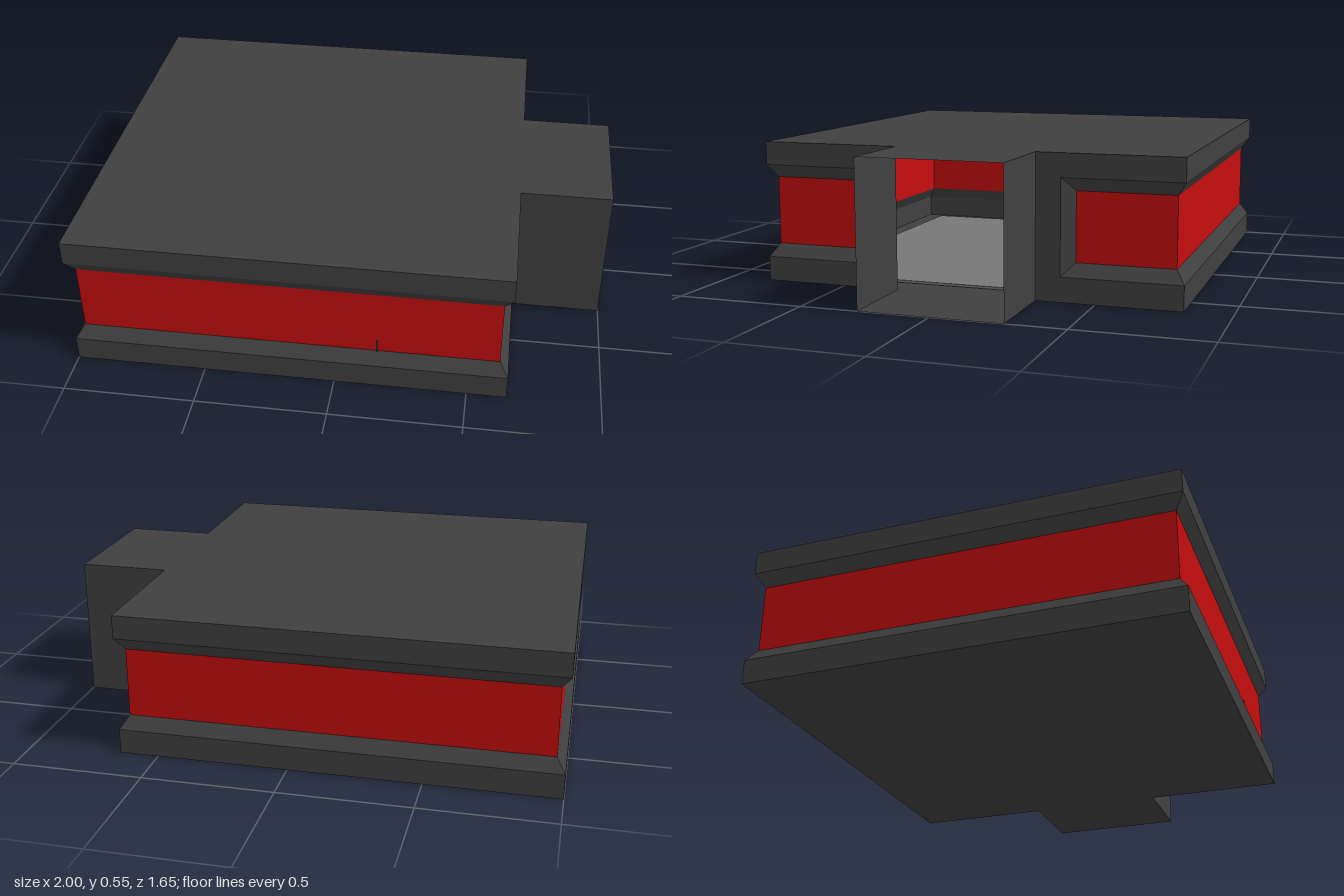
import * as THREE from 'three';

const H = 0.55, X0 = -1, X1 = 0.65, XT = 1, Z = 0.825, ZT = 0.275;
const dark = new THREE.MeshStandardMaterial({ color: 0x404040, side: THREE.DoubleSide, flatShading: true });
const red = new THREE.MeshStandardMaterial({ color: 0xc40d0d, side: THREE.DoubleSide, flatShading: true });
const grey = new THREE.MeshStandardMaterial({ color: 0x777777 });

// Builds one mesh from a list of four-cornered faces
function quadMesh(name, quads, material) {
  const pos = quads.flatMap(([a, b, c, d]) => [a, b, c, a, c, d].flat());
  const geo = new THREE.BufferGeometry();
  geo.setAttribute('position', new THREE.Float32BufferAttribute(pos, 3));
  geo.computeVertexNormals();
  const mesh = new THREE.Mesh(geo, material);
  mesh.name = name;
  return mesh;
}

// Wall strip joining path A at height ya to path B at height yb; paths are [x, z]
function strip(A, ya, B, yb) {
  return A.slice(1).map((p, i) => [
    [p[0], ya, p[1]], [A[i][0], ya, A[i][1]],
    [B[i][0], yb, B[i][1]], [B[i + 1][0], yb, B[i + 1][1]],
  ]);
}

// Half path mirrored in z, running round the room from one side of the doorway to the other
function around(x0, x1, z, zEnd) {
  const half = [[x1, zEnd], [x1, z], [x0, z]];
  return [...half, ...half.map(([x, zz]) => [x, -zz]).reverse()];
}

export function createModel() {
  const model = new THREE.Group();

  const outer = around(X0, X1, Z, 0.37);
  const inset = around(X0 + 0.033, X1 - 0.033, Z - 0.033, 0.42);

  // Lower and upper bands with the bevels leading into the groove
  model.add(quadMesh('lowerBand', [...strip(outer, 0, outer, 0.095), ...strip(outer, 0.095, inset, 0.145)], dark));
  model.add(quadMesh('upperBand', [...strip(inset, 0.41, outer, 0.46), ...strip(outer, 0.46, outer, H)], dark));

  // Recessed red wall panels
  model.add(quadMesh('redPanels', strip(inset, 0.145, inset, 0.41), red));

  // Door posts, groove end bevels and the open-ended passage walls
  const posts = [], passage = [];
  for (const s of [1, -1]) {
    const face = (pts) => (s > 0 ? pts : pts.map(([x, y, z]) => [x, y, -z]).reverse());
    posts.push(face([[X1, 0, 0.37], [X1, 0, ZT], [X1, H, ZT], [X1, H, 0.37]]));
    posts.push(face([[X1 - 0.033, 0.145, 0.42], [X1, 0.095, 0.37], [X1, 0.46, 0.37], [X1 - 0.033, 0.41, 0.42]]));
    passage.push(face([[X1, 0, ZT], [XT, 0, ZT], [XT, H, ZT], [X1, H, ZT]]));
  }
  model.add(quadMesh('doorPosts', posts, dark));
  model.add(quadMesh('passageWalls', passage, dark));

  // Floor and ceiling share one T-shaped outline
  const outline = new THREE.Shape(
    [[X0, -Z], [X1, -Z], [X1, -ZT], [XT, -ZT], [XT, ZT], [X1, ZT], [X1, Z], [X0, Z]]
      .map(([x, z]) => new THREE.Vector2(x, z)));
  for (const [name, y, turn] of [['ceiling', H, -1], ['floor', 0, 1]]) {
    const slab = new THREE.Mesh(new THREE.ShapeGeometry(outline), dark);
    slab.name = name;
    slab.rotation.x = turn * Math.PI / 2;
    slab.position.y = y;
    model.add(slab);
  }

  // Thin plate lying on the floor of the room
  const plate = new THREE.Mesh(new THREE.BoxGeometry(1.45, 0.01, 1.45), grey);
  plate.name = 'floorPlate';
  plate.position.set((X0 + X1) / 2, 0.01, 0);
  model.add(plate);

  // Round column standing inside the room
  const column = new THREE.Mesh(new THREE.CylinderGeometry(0.09, 0.09, 0.38, 16), red);
  column.name = 'column';
  column.position.set((X0 + X1) / 2, 0.205, 0.03);
  model.add(column);

  // Small pin showing through the front panel
  const pin = new THREE.Mesh(new THREE.BoxGeometry(0.006, 0.05, 0.012), dark);
  pin.name = 'pin';
  pin.position.set(0.16, 0.168, 0.791);
  model.add(pin);

  return model;
}
